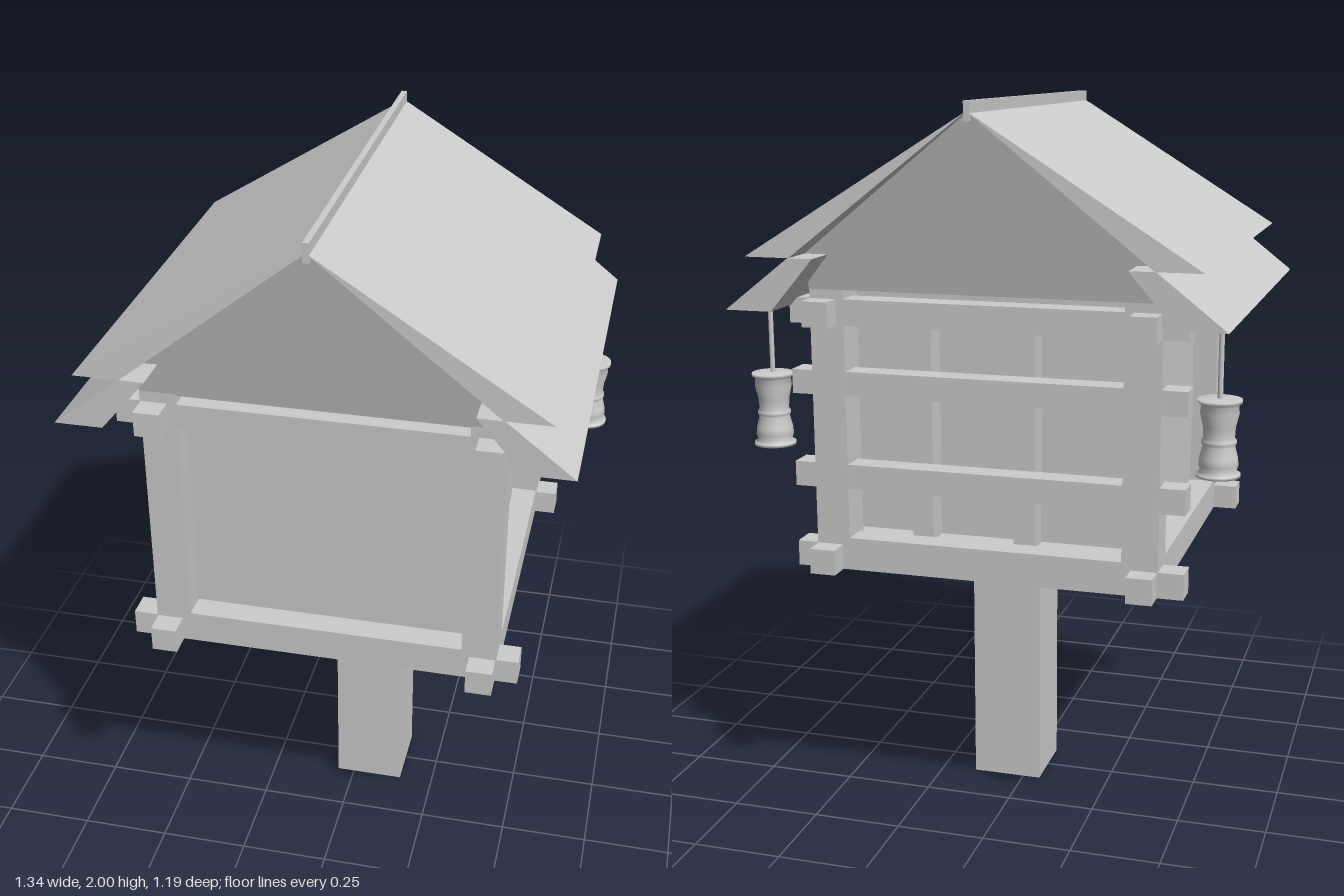
import * as THREE from 'three';

const material = new THREE.MeshStandardMaterial({ color: 0xcccccc, flatShading: true });
const smooth = new THREE.MeshStandardMaterial({ color: 0xcccccc, side: THREE.DoubleSide });

function add(parent, name, geometry, mat = material) {
  const mesh = new THREE.Mesh(geometry, mat);
  mesh.name = name;
  parent.add(mesh);
  return mesh;
}

// Box given by its extents on each axis
function block(parent, name, [x0, x1], [y0, y1], [z0, z1]) {
  const mesh = add(parent, name, new THREE.BoxGeometry(x1 - x0, y1 - y0, z1 - z0));
  mesh.position.set((x0 + x1) / 2, (y0 + y1) / 2, (z0 + z1) / 2);
  return mesh;
}

// Prism along z whose half depth changes linearly with height
function prism(parent, name, points, halfDepth) {
  const shape = new THREE.Shape(points.map(([x, y]) => new THREE.Vector2(x, y)));
  const geometry = new THREE.ExtrudeGeometry(shape, { depth: 2, bevelEnabled: false });
  const p = geometry.attributes.position;
  for (let i = 0; i < p.count; i++) p.setZ(i, (p.getZ(i) - 1) * halfDepth(p.getY(i)));
  geometry.computeVertexNormals();
  return add(parent, name, geometry);
}

export function createModel() {
  const model = new THREE.Group();
  model.name = 'shrineHouse';

  // Supporting post
  block(model, 'post', [-0.05, 0.15], [0, 0.76], [-0.1, 0.1]);

  // House body with recessed panels
  const house = new THREE.Group();
  house.name = 'house';
  model.add(house);
  block(house, 'panelCore', [-0.4, 0.406], [0.75, 1.53], [-0.33, 0.405]);
  block(house, 'floor', [-0.46, 0.466], [0.74, 0.82], [-0.46, 0.466]);

  // Corner posts
  for (const x of [[-0.472, -0.375], [0.382, 0.476]])
    for (const z of [[-0.472, -0.375], [0.38, 0.476]])
      block(house, 'cornerPost', x, [0.74, 1.53], z);

  // Rails between the corner posts
  for (const y of [[0.74, 0.83], [1.415, 1.485]]) {
    for (const z of [[-0.472, -0.4], [0.4, 0.476]]) block(house, 'crossRail', [-0.4, 0.4], y, z);
    for (const x of [[-0.472, -0.4], [0.402, 0.476]]) block(house, 'sideRail', x, y, [-0.4, 0.4]);
  }

  // Beams whose ends stick out past the corners
  for (const y of [[0.74, 0.81], [1.417, 1.485]]) {
    for (const z of [[-0.47, -0.4], [0.403, 0.474]]) block(house, 'crossBeam', [-0.54, 0.535], y, z);
    for (const x of [[-0.47, -0.4], [0.403, 0.474]]) block(house, 'sideBeam', x, y, [-0.533, 0.54]);
  }

  // Lattice on the back
  for (const y of [[0.968, 1.036], [1.225, 1.291]])
    block(house, 'latticeBeam', [-0.54, 0.535], y, [-0.47, -0.4]);
  for (const x of [[-0.121, -0.062], [0.165, 0.224]])
    block(house, 'latticeBar', x, [0.8, 1.44], [-0.4, -0.32]);

  // Gable block, leaning outward toward the ridge
  const roof = new THREE.Group();
  roof.name = 'roof';
  model.add(roof);
  prism(roof, 'gable', [[-0.472, 1.51], [0.476, 1.51], [0.476, 1.605], [0, 1.972], [-0.472, 1.605]],
    y => 0.475 + 0.1 * (y - 1.51) / 0.465);

  // Roof slopes and lower eaves
  for (const s of [1, -1]) {
    const mirror = points => s > 0 ? points : points.map(([x, y]) => [-x, y]).reverse();
    prism(roof, 'roofSlope', mirror([[0, 1.975], [0.475, 1.605], [0.597, 1.605]]),
      y => 0.597 - 0.017 * (y - 1.605) / 0.37);
    prism(roof, 'eave', mirror([[0.478, 1.605], [0.41, 1.605], [0.53, 1.465], [0.657, 1.465]]),
      () => 0.597);
  }
  block(roof, 'ridgeBoard', [-0.008, 0.008], [1.95, 2], [-0.58, 0.58]);

  // Hanging lanterns near the back corners
  const profile = [
    [0, 1.07], [0.057, 1.07], [0.057, 1.078], [0.045, 1.083], [0.051, 1.1], [0.049, 1.12],
    [0.041, 1.15], [0.045, 1.157], [0.045, 1.164], [0.04, 1.171], [0.042, 1.2], [0.05, 1.235],
    [0.048, 1.255], [0.057, 1.262], [0.057, 1.27], [0, 1.272],
  ].map(([r, y]) => new THREE.Vector2(r, y));
  for (const x of [-0.614, 0.611]) {
    const lantern = new THREE.Group();
    lantern.name = 'lantern';
    lantern.position.set(x, 0, -0.43);
    model.add(lantern);
    add(lantern, 'lanternBody', new THREE.LatheGeometry(profile, 24), smooth);
    add(lantern, 'lanternCord', new THREE.CylinderGeometry(0.007, 0.007, 0.22, 8), smooth).position.y = 1.375;
  }
  return model;
}
